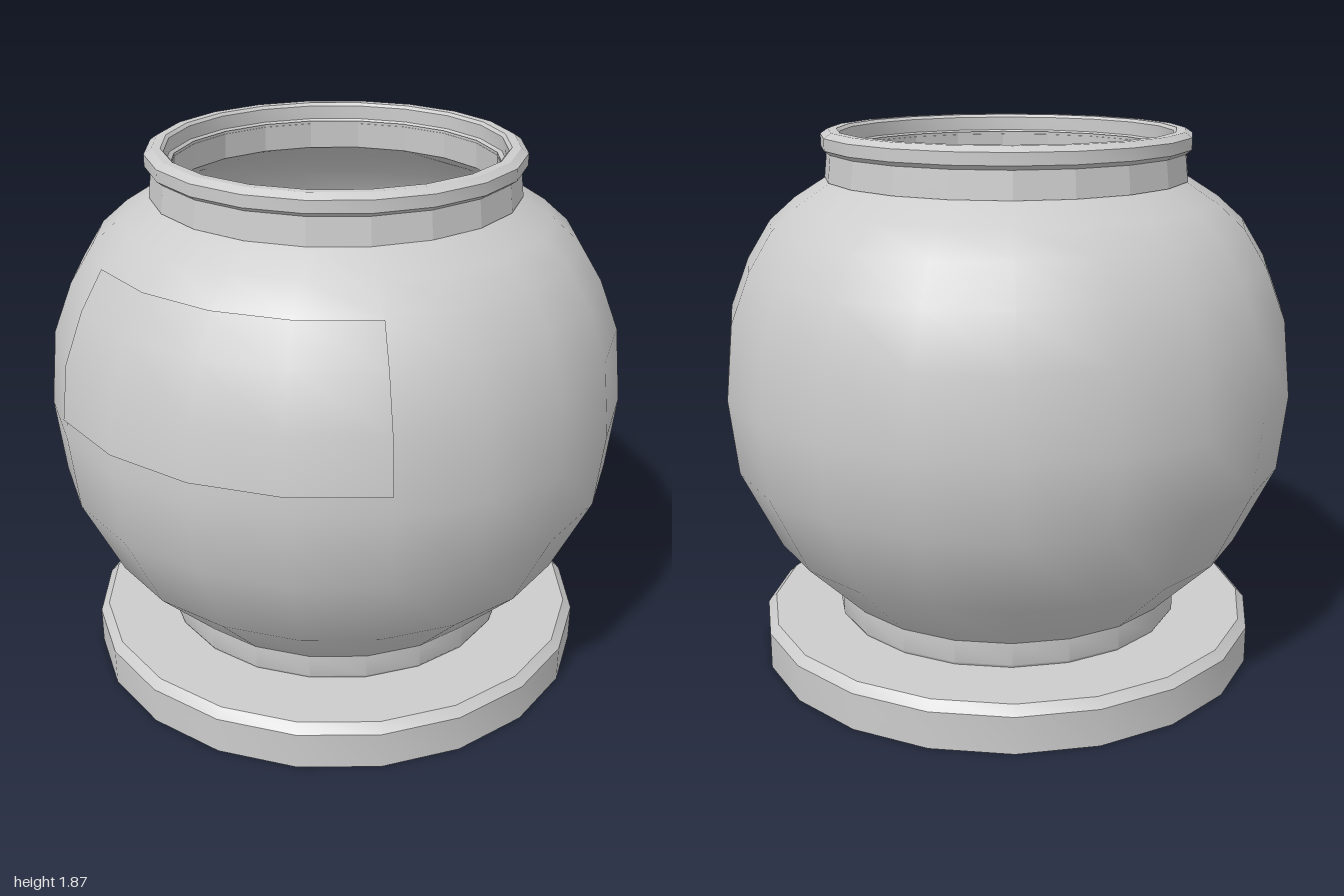
import * as THREE from 'three';
import { toCreasedNormals } from 'three/addons/utils/BufferGeometryUtils.js';

const SIDES = 20;

export function createModel() {
  const jar = new THREE.Group();
  jar.name = 'jar';
  const material = new THREE.MeshStandardMaterial({ color: 0xcccccc });
  const openMaterial = new THREE.MeshStandardMaterial({ color: 0xcccccc, side: THREE.DoubleSide });

  // Revolves a profile of [radius, height] pairs; crease null keeps it fully smooth.
  function turned(name, profile, crease = 0.6, mat = material) {
    const points = profile.map(([r, y]) => new THREE.Vector2(r, y));
    let geometry = new THREE.LatheGeometry(points, SIDES);
    if (crease !== null) geometry = toCreasedNormals(geometry, crease);
    const mesh = new THREE.Mesh(geometry, mat);
    mesh.name = name;
    jar.add(mesh);
    return mesh;
  }

  // Round plate with a bevelled top edge
  turned('basePlate', [[0, 0], [0.89, 0], [0.89, 0.13], [0.86, 0.16], [0, 0.16]]);

  // Foot ring between plate and body
  turned('foot', [[0.61, 0.155], [0.62, 0.17], [0.62, 0.25], [0.57, 0.25]]);

  // Rounded body shell, outside and inside
  const body = [
    [0.62, 0.25], [0.83, 0.46], [0.965, 0.74], [0.993, 1.0], [0.966, 1.26],
    [0.9, 1.43], [0.82, 1.56], [0.73, 1.64], [0.62, 1.71],
  ];
  turned('body', body, null);
  const wall = 0.03;
  const inner = body.map(([r, y]) => [r - wall, y + (y < 1 ? 0.02 : 0)]).reverse();
  inner[0] = [0.56, 1.71];
  turned('bodyInside', inner, null);
  turned('floor', [[0.6, 0.27], [0, 0.27]]);

  // Faceted neck
  turned('neck', [[0.625, 1.71], [0.615, 1.805]], 0.1);
  turned('neckInside', [[0.555, 1.81], [0.56, 1.71]], 0.1);

  // Bevelled rim
  turned('rim', [
    [0.555, 1.8], [0.615, 1.8], [0.635, 1.815], [0.635, 1.855], [0.61, 1.872],
    [0.58, 1.872], [0.57, 1.862], [0.57, 1.815], [0.555, 1.8],
  ]);

  // Thin label panel that follows the front of the body
  const panelPoints = [[0.999, 1.07], [0.976, 1.26], [0.911, 1.43], [0.835, 1.56]]
    .map(([r, y]) => new THREE.Vector2(r, y));
  const panel = new THREE.Mesh(
    new THREE.LatheGeometry(panelPoints, 4, -Math.PI / 5, (2 * Math.PI) / 5),
    openMaterial
  );
  panel.name = 'frontPanel';
  jar.add(panel);

  jar.position.z = -0.003;
  return jar;
}
